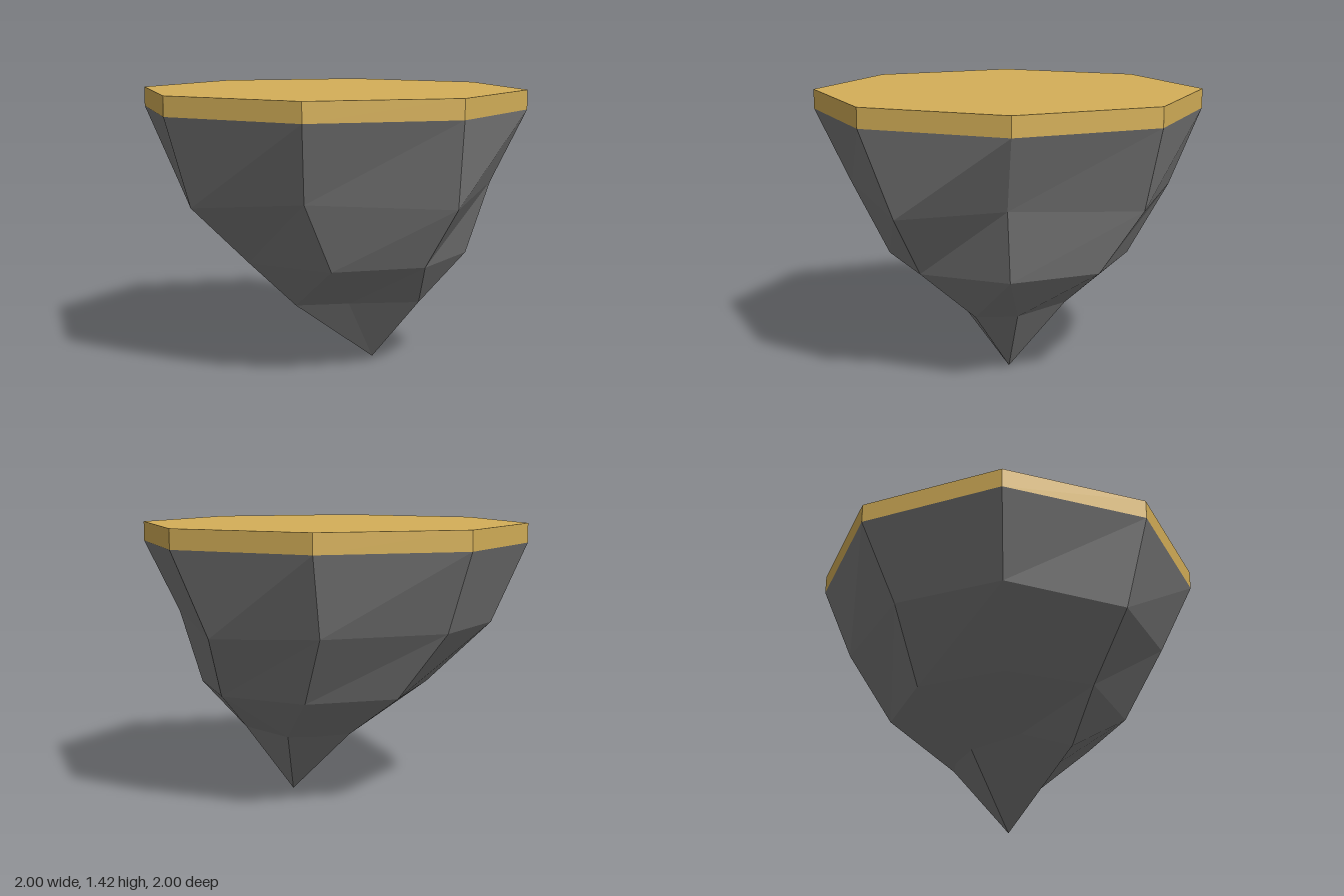
import * as THREE from 'three';

const SIDES = 8;
const TOP_Y = 1.32;

// Regular ring of corners, starting at +x and turning towards +z
function ring(radius, y, cx = 0) {
  return Array.from({ length: SIDES }, (_, i) => {
    const a = (i / SIDES) * Math.PI * 2;
    return [cx + radius * Math.cos(a), y, radius * Math.sin(a)];
  });
}

// Skin between stacked rings, closed by a single point at the bottom
function loftToTip(rings, tip) {
  const pos = [];
  const tri = (...corners) => corners.forEach((c) => pos.push(...c));
  for (let i = 0; i < SIDES; i++) {
    const j = (i + 1) % SIDES;
    for (let r = 0; r < rings.length - 1; r++) {
      const up = rings[r], low = rings[r + 1];
      tri(up[i], up[j], low[j]);
      tri(up[i], low[j], low[i]);
    }
    const last = rings[rings.length - 1];
    tri(last[i], last[j], tip);
  }
  const geo = new THREE.BufferGeometry();
  geo.setAttribute('position', new THREE.Float32BufferAttribute(pos, 3));
  geo.computeVertexNormals();
  return geo;
}

export function createModel() {
  const group = new THREE.Group();
  group.name = 'floatingIsland';

  // Flat eight-sided ground slab
  const ground = new THREE.Mesh(
    new THREE.CylinderGeometry(1, 1, 0.1, SIDES),
    new THREE.MeshStandardMaterial({ color: 0xd4af58, flatShading: true })
  );
  ground.name = 'groundSlab';
  ground.position.y = TOP_Y + 0.05;
  group.add(ground);

  // Irregular rings of the rock: right, front right, front, ... back right
  const shoulder = [
    [0.82, 0.95, 0.015], [0.68, 0.88, 0.55], [-0.02, 0.93, 0.82], [-0.61, 0.87, 0.6],
    [-0.82, 0.91, 0], [-0.6, 0.915, -0.54], [-0.015, 0.92, -0.84], [0.54, 0.89, -0.65],
  ];
  const waist = ring(0.62, 0.575, 0.08);
  waist[4] = [-0.49, 0.595, 0]; // chipped corner
  const neck = [
    [0.46, 0.34, -0.04], [0.47, 0.34, 0.17], [0.12, 0.34, 0.25], [-0.14, 0.34, 0.33],
    [-0.18, 0.39, 0.07], [-0.1, 0.34, -0.18], [0.08, 0.34, -0.27], [0.206, 0.34, -0.288],
  ];

  // Faceted rock tapering to an off-centre tip
  const rock = new THREE.Mesh(
    loftToTip([ring(1, TOP_Y), shoulder, waist, neck], [0.215, 0, 0]),
    new THREE.MeshStandardMaterial({ color: 0x7c7c7c, flatShading: true })
  );
  rock.name = 'rockUnderside';
  group.add(rock);

  return group;
}
